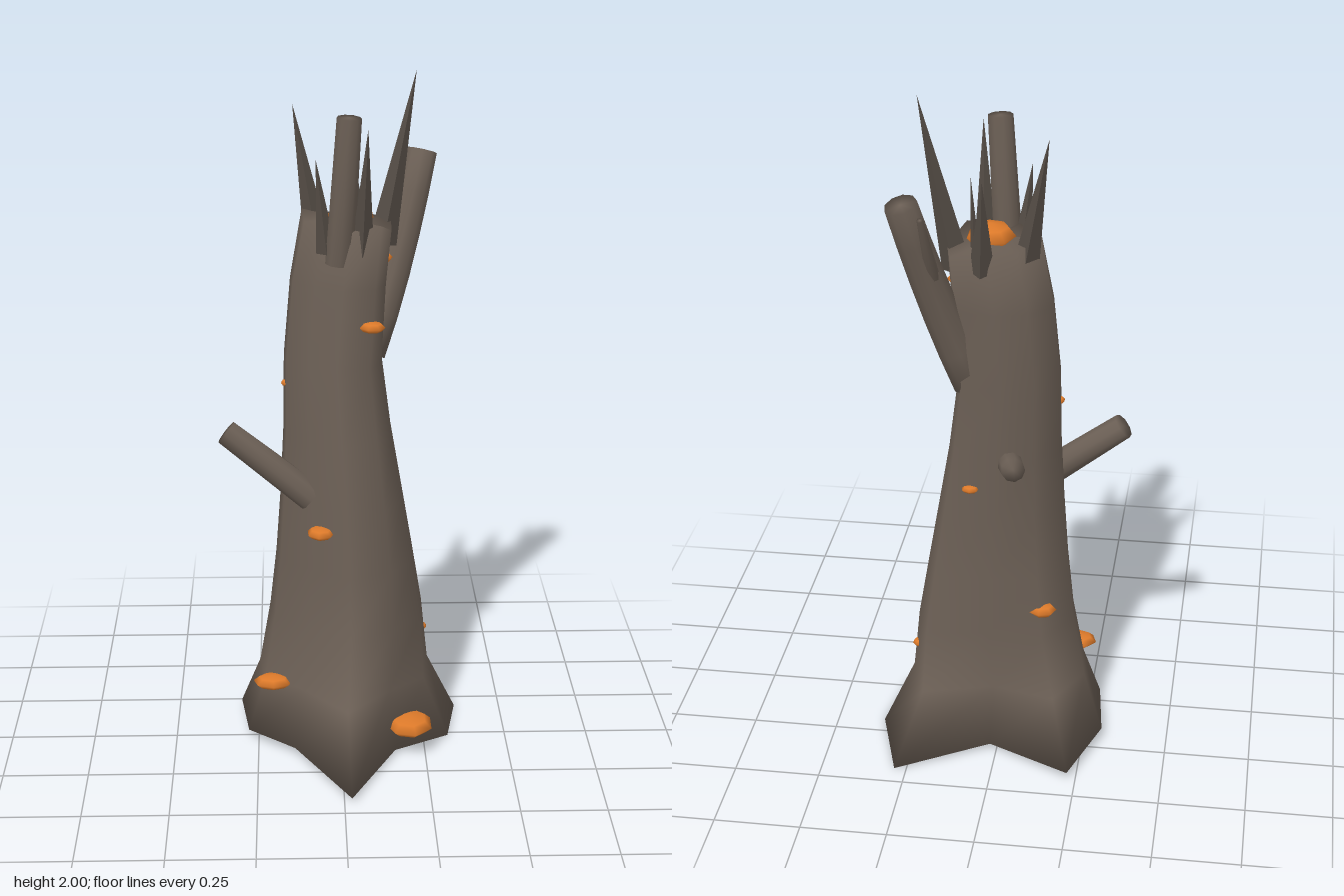
import * as THREE from 'three';
import { mergeVertices } from 'three/addons/utils/BufferGeometryUtils.js';

const bark = new THREE.MeshStandardMaterial({ color: 0x6b5f55 });
bark.name = 'bark';
const splinterWood = new THREE.MeshStandardMaterial({ color: 0x544c45, flatShading: true });
splinterWood.name = 'splinter wood';
const fungusOrange = new THREE.MeshStandardMaterial({ color: 0xdd7a2a });
fungusOrange.name = 'fungus orange';

const V = (p) => new THREE.Vector3(...p);

function add(parent, name, geometry, material) {
  const mesh = new THREE.Mesh(geometry, material);
  mesh.name = name;
  parent.add(mesh);
  return mesh;
}

// Weld a geometry so that its normals run smoothly over the edges
function weld(geometry) {
  geometry.deleteAttribute('normal');
  geometry.deleteAttribute('uv');
  const g = mergeVertices(geometry, 1e-4);
  g.computeVertexNormals();
  return g;
}

// Root outline in x, z, from the front counter-clockwise seen from above
const ROOTS = [
  [0.022, 0.44], [0.16, 0.13], [0.325, 0.02], [0.36, -0.19], [0.285, -0.44],
  [0.02, -0.295], [-0.225, -0.425], [-0.305, -0.19], [-0.28, 0.02], [-0.14, 0.135],
];
// Outline of the upper trunk within a unit square, same order
const STEM = [
  [0.08, 1], [0.75, 0.9], [0.98, 0.38], [1, -0.42], [0.87, -0.9],
  [0.1, -1], [-0.55, -0.82], [-1, -0.3], [-0.95, 0.2], [-0.5, 0.64],
];

// Trunk levels: y, xMin, xMax, zMin, zMax, share of the root outline kept
const LEVELS = [
  [0.014, -0.305, 0.36, -0.44, 0.44, 1],
  [0.19, -0.245, 0.27, -0.315, 0.25, 0.7],
  [0.38, -0.212, 0.25, -0.292, 0.165, 0.46],
  [0.56, -0.192, 0.22, -0.268, 0.13, 0.32],
  [0.75, -0.178, 0.187, -0.262, 0.108, 0.22],
  [0.95, -0.168, 0.152, -0.26, 0.075, 0.13],
  [1.17, -0.165, 0.123, -0.26, 0.042, 0.06],
  [1.4, -0.145, 0.135, -0.262, 0.008, 0.02],
  [1.58, -0.11, 0.15, -0.25, -0.01, 0],
];

function trunkGeometry() {
  const n = ROOTS.length;
  const rings = LEVELS.map(([y, x0, x1, z0, z1, keep], level) =>
    ROOTS.map(([x, z], i) => {
      const u = THREE.MathUtils.lerp(STEM[i][0], (x - 0.0275) / 0.3325, keep);
      const v = THREE.MathUtils.lerp(STEM[i][1], z / 0.44, keep);
      // tilted foot and ragged rim
      let dy = 0;
      if (level === 0) dy = -0.014 * u;
      if (level === LEVELS.length - 1) dy = (i % 2 ? 0.012 : -0.012) - 0.012 * u;
      return [(x0 + x1) / 2 + (u * (x1 - x0)) / 2, y + dy, (z0 + z1) / 2 + (v * (z1 - z0)) / 2];
    }));
  const pos = rings.flat(2);
  const index = [];
  for (let r = 0; r < rings.length - 1; r++) {
    for (let i = 0; i < n; i++) {
      const a = r * n + i, b = r * n + ((i + 1) % n);
      index.push(a, b, b + n, a, b + n, a + n);
    }
  }
  // end caps share the rim vertices, so the shading rolls over the edge
  const cap = (ring, centre, up) => {
    const c = pos.length / 3;
    pos.push(...centre);
    for (let i = 0; i < n; i++) {
      const a = ring * n + i, b = ring * n + ((i + 1) % n);
      index.push(c, up ? a : b, up ? b : a);
    }
  };
  cap(0, [0.02, 0.014, -0.06], false);
  cap(rings.length - 1, [0.02, 1.58, -0.13], true);
  const g = new THREE.BufferGeometry();
  g.setAttribute('position', new THREE.Float32BufferAttribute(pos, 3));
  g.setIndex(index);
  g.computeVertexNormals();
  return g;
}

// Tapered round stick, or a four-sided spike when the end radius is zero
function stick(parent, name, from, to, r0, r1, material) {
  const a = V(from), b = V(to), dir = b.clone().sub(a);
  const g = r1 > 0
    ? weld(new THREE.CylinderGeometry(r1, r0, dir.length(), 9))
    : new THREE.ConeGeometry(r0, dir.length(), 4);
  const mesh = add(parent, name, g, material);
  mesh.position.copy(a).add(b).multiplyScalar(0.5);
  mesh.quaternion.setFromUnitVectors(new THREE.Vector3(0, 1, 0), dir.normalize());
}

// Branch that curves along three points: a closed cylinder bent onto the curve
function bentBranch(parent, name, points, r0, r1) {
  const curve = new THREE.QuadraticBezierCurve3(...points.map(V));
  const g = weld(new THREE.CylinderGeometry(r1, r0, 1, 9, 5));
  const p = g.attributes.position;
  const up = new THREE.Vector3(0, 1, 0), q = new THREE.Quaternion();
  for (let i = 0; i < p.count; i++) {
    const t = THREE.MathUtils.clamp(p.getY(i) + 0.5, 0, 1);
    q.setFromUnitVectors(up, curve.getTangentAt(t));
    const v = new THREE.Vector3(p.getX(i), 0, p.getZ(i)).applyQuaternion(q).add(curve.getPointAt(t));
    p.setXYZ(i, v.x, v.y, v.z);
  }
  g.computeVertexNormals();
  add(parent, name, g, bark);
}

export function createModel() {
  const model = new THREE.Group();
  model.name = 'deadTree';
  add(model, 'trunk', trunkGeometry(), bark);

  // Broken branches
  const branches = new THREE.Group();
  branches.name = 'branches';
  model.add(branches);
  stick(branches, 'topBranch', [-0.003, 1.47, -0.042], [0.024, 1.895, -0.018], 0.042, 0.036, bark);
  stick(branches, 'rightBranch', [-0.085, 0.772, -0.005], [-0.335, 0.97, -0.022], 0.045, 0.038, bark);
  stick(branches, 'backStub', [-0.022, 0.925, -0.19], [-0.053, 0.963, -0.323], 0.038, 0.034, bark);
  bentBranch(branches, 'leftBranch',
    [[0.08, 1.165, -0.185], [0.17, 1.4, -0.235], [0.247, 1.74, -0.332]], 0.058, 0.046);
  stick(branches, 'leftTwig', [0.17, 1.52, -0.29], [0.186, 1.72, -0.385], 0.02, 0.009, bark);

  // Splinters round the broken top
  const splinters = new THREE.Group();
  splinters.name = 'splinters';
  model.add(splinters);
  [
    [[-0.07, 1.53, -0.18], [-0.135, 1.9, -0.215], 0.036],
    [[0.125, 1.5, -0.165], [0.222, 2.0, -0.197], 0.042],
    [[0.045, 1.52, -0.235], [0.035, 1.8, -0.295], 0.036],
    [[0.062, 1.5, -0.04], [0.076, 1.87, 0.022], 0.034],
    [[-0.04, 1.5, -0.055], [-0.07, 1.77, -0.045], 0.03],
    [[0.07, 1.53, -0.18], [0.08, 1.78, -0.195], 0.014],
  ].forEach(([from, to, r]) => stick(splinters, 'splinter', from, to, r, 0, splinterWood));

  // Shelf fungi: centre, then half sizes
  const fungi = new THREE.Group();
  fungi.name = 'fungi';
  model.add(fungi);
  [
    [[0.203, 0.082, 0.1], [0.072, 0.026, 0.087]],
    [[-0.205, 0.195, 0.035], [0.06, 0.02, 0.047]],
    [[-0.06, 0.685, 0.065], [0.042, 0.017, 0.048]],
    [[0.09, 1.295, 0.012], [0.038, 0.016, 0.036]],
    [[-0.125, 0.46, -0.232], [0.044, 0.02, 0.036]],
    [[0.25, 0.28, -0.175], [0.02, 0.012, 0.02]],
    [[0.127, 1.46, -0.15], [0.028, 0.014, 0.03]],
    [[-0.157, 1.09, -0.12], [0.018, 0.01, 0.02]],
    [[0.08, 0.855, -0.25], [0.026, 0.011, 0.022]],
    [[0.033, 1.59, -0.14], [0.07, 0.036, 0.072]],
  ].forEach(([centre, size], i) => {
    const g = new THREE.SphereGeometry(1, 7, 4);
    g.rotateY(i * 0.7);
    g.scale(...size);
    add(fungi, 'fungus', g, fungusOrange).position.set(...centre);
  });

  return model;
}
